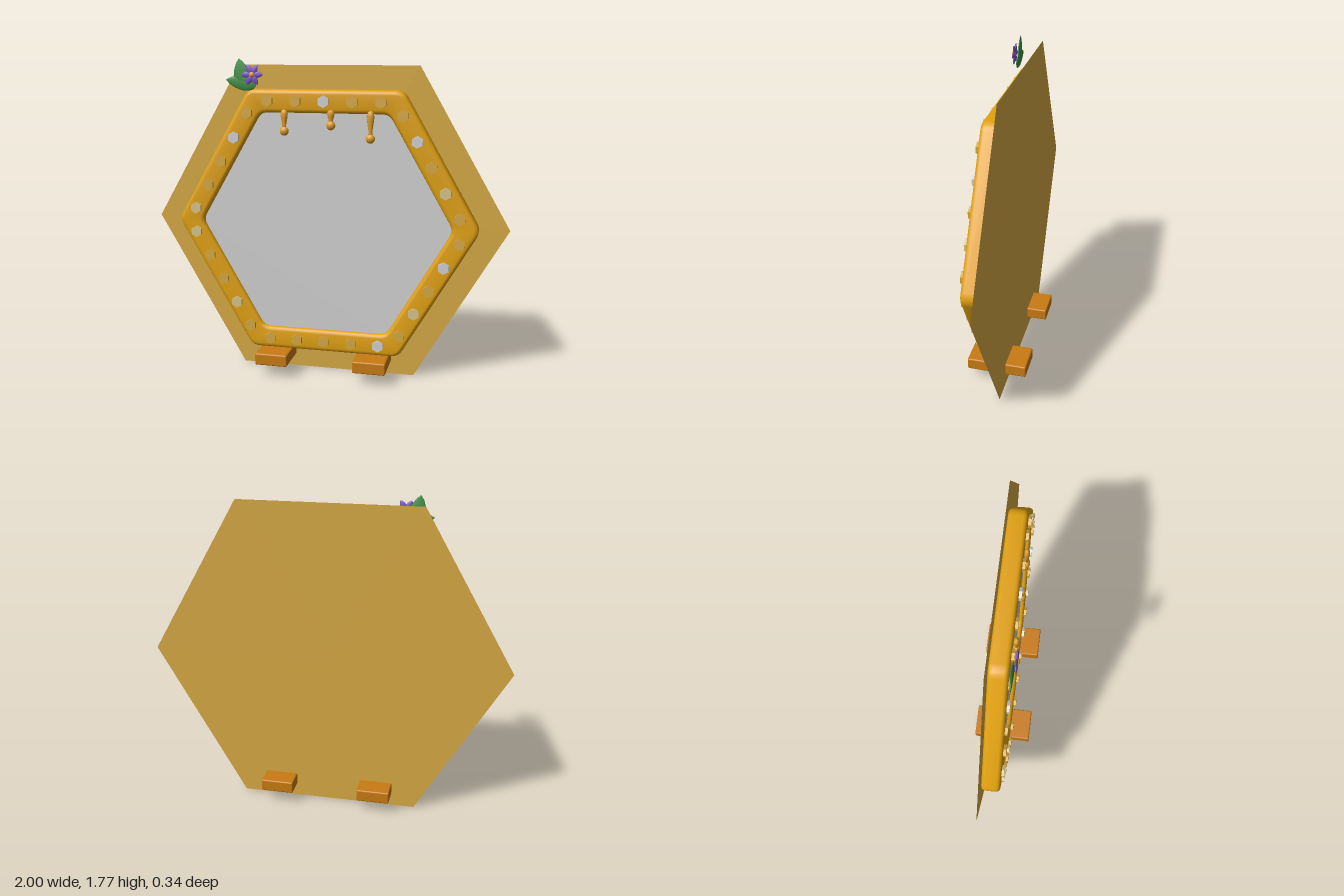
import * as THREE from 'three';
import { toCreasedNormals } from 'three/addons/utils/BufferGeometryUtils.js';
import { RoundedBoxGeometry } from 'three/addons/geometries/RoundedBoxGeometry.js';

const CY = 0.87; // height of the frame centre

function material(name, color, side = THREE.FrontSide) {
  const m = new THREE.MeshStandardMaterial({ color, side });
  m.name = name;
  return m;
}

// Points of a flat-topped hexagon whose corners are rounded off over length c
function roundedHexagon(radius, c) {
  const corners = [];
  for (let i = 0; i < 6; i++) {
    const a = (i * Math.PI) / 3;
    corners.push(new THREE.Vector2(Math.cos(a) * radius, Math.sin(a) * radius));
  }
  const points = [];
  corners.forEach((p, i) => {
    const from = p.clone().lerp(corners[(i + 5) % 6], c / radius);
    const to = p.clone().lerp(corners[(i + 1) % 6], c / radius);
    points.push(...new THREE.QuadraticBezierCurve(from, p, to).getPoints(4));
  });
  return points;
}

export function createModel() {
  const honey = material('honey frame', 0xe0a010);
  const backingGold = material('backing gold', 0xd4a843, THREE.DoubleSide);
  const studGold = material('stud gold', 0xd4a843);
  const paleGold = material('pale gold', 0xd6c48a);
  const silver = material('silver', 0xd0d0d0);
  const amber = material('amber foot', 0xc87a12);
  const dripGold = material('drip gold', 0xdc9c28);
  const leafGreen = material('leaf green', 0x3f8f45);
  const purple = material('petal purple', 0x7b52c4);

  const model = new THREE.Group();
  const add = (name, geometry, mat, x = 0, y = 0, z = 0, parent = model) => {
    const mesh = new THREE.Mesh(geometry, mat);
    mesh.name = name;
    mesh.position.set(x, y, z);
    parent.add(mesh);
    return mesh;
  };

  // Thin hexagonal backing, standing on the ground
  const half = Math.sqrt(3) / 2;
  add('backing', new THREE.CircleGeometry(1, 6), backingGold, 0, half, -0.052);

  // Hexagonal frame ring with rounded edges
  const bevel = 0.022;
  const ring = new THREE.Shape(roundedHexagon(0.847 - bevel * 1.155, 0.03));
  ring.holes.push(new THREE.Path(roundedHexagon(0.704 + bevel * 1.155, 0.05).reverse()));
  const frameGeometry = new THREE.ExtrudeGeometry(ring, {
    depth: 0.1 - 2 * bevel,
    bevelSize: bevel,
    bevelThickness: bevel,
    bevelSegments: 4,
  });
  frameGeometry.translate(0, 0, -0.05 + bevel);
  add('frame', toCreasedNormals(frameGeometry, 0.6), honey, 0, CY, 0);

  // Mirror pane set inside the frame
  add('mirror', new THREE.ShapeGeometry(new THREE.Shape(roundedHexagon(0.73, 0.04))), silver, 0, CY, 0.025);

  // Hexagonal studs, five to a side, clockwise from the top left corner
  const pattern = 'ggsgg' + 'gsgpg' + 'gsgpg' + 'sgggg' + 'gpggp' + 'pggsg';
  const studMaterials = { g: studGold, p: paleGold, s: silver };
  const studGeometry = new THREE.CylinderGeometry(0.033, 0.033, 0.02, 6).toNonIndexed();
  studGeometry.computeVertexNormals();
  studGeometry.rotateX(Math.PI / 2);
  for (let side = 0; side < 6; side++) {
    const a = (side * Math.PI) / 3;
    for (let i = 0; i < 5; i++) {
      const along = (i - 2) * 0.155;
      const x = along * Math.cos(a) + 0.673 * Math.sin(a);
      const y = -along * Math.sin(a) + 0.673 * Math.cos(a);
      add('stud', studGeometry, studMaterials[pattern[side * 5 + i]], x, CY + y, 0.055);
    }
  }

  // Feet running front to back
  for (const x of [-0.278, 0.278]) {
    add('foot', new RoundedBoxGeometry(0.185, 0.068, 0.336, 2, 0.008), amber, x, 0.105, 0);
  }

  // Honey drips: a tapering strand ending in a bead
  for (const [x, beadY] of [[-0.214, 1.383], [0.043, 1.418], [0.257, 1.352]]) {
    const length = 1.5 - beadY;
    const profile = [[0.012, 0], [0.011, 0.3], [0.018, 0.6], [0.021, 0.8], [0.014, 0.95], [0, 1]]
      .map(([r, t]) => new THREE.Vector2(r, t * length));
    const drip = new THREE.Group();
    drip.name = 'drip';
    drip.position.set(x, beadY, 0.062);
    drip.scale.z = 0.75;
    add('dripStrand', new THREE.LatheGeometry(profile, 12), dripGold, 0, 0, 0, drip);
    add('dripBead', new THREE.SphereGeometry(0.025, 14, 10), dripGold, 0, 0, 0, drip);
    model.add(drip);
  }

  // Pointed blade growing along +y from its base, used for leaves and petals
  const blade = (length, width, thickness) => {
    const profile = [[0, 0], [0.3, 0.08], [0.46, 0.25], [0.5, 0.42], [0.42, 0.65], [0.22, 0.87], [0, 1]]
      .map(([r, t]) => new THREE.Vector2(r * width, t * length));
    return new THREE.LatheGeometry(profile, 12).scale(1, 1, thickness / width);
  };

  // Leaves behind the flower
  const leaves = [[-0.435, 1.605, 0.165, 0.09, 0.16], [-0.365, 1.625, 0.175, 0.08, 1.4], [-0.4, 1.62, 0.12, 0.06, 0.8]];
  for (const [x, y, length, width, turn] of leaves) {
    add('leaf', blade(length, width, 0.016), leafGreen, x, y, 0.066).rotation.z = turn;
  }

  // Six-petalled flower
  const flower = new THREE.Group();
  flower.name = 'flower';
  flower.position.set(-0.385, 1.682, 0.08);
  for (let i = 0; i < 6; i++) {
    const petal = add('petal', blade(0.062, 0.034, 0.014), purple, 0, 0, 0, flower);
    petal.rotation.z = (i + 0.5) * (Math.PI / 3);
  }
  add('flowerCentre', new THREE.SphereGeometry(0.016, 12, 8), dripGold, 0, 0, 0.004, flower).scale.z = 0.7;
  model.add(flower);

  return model;
}
